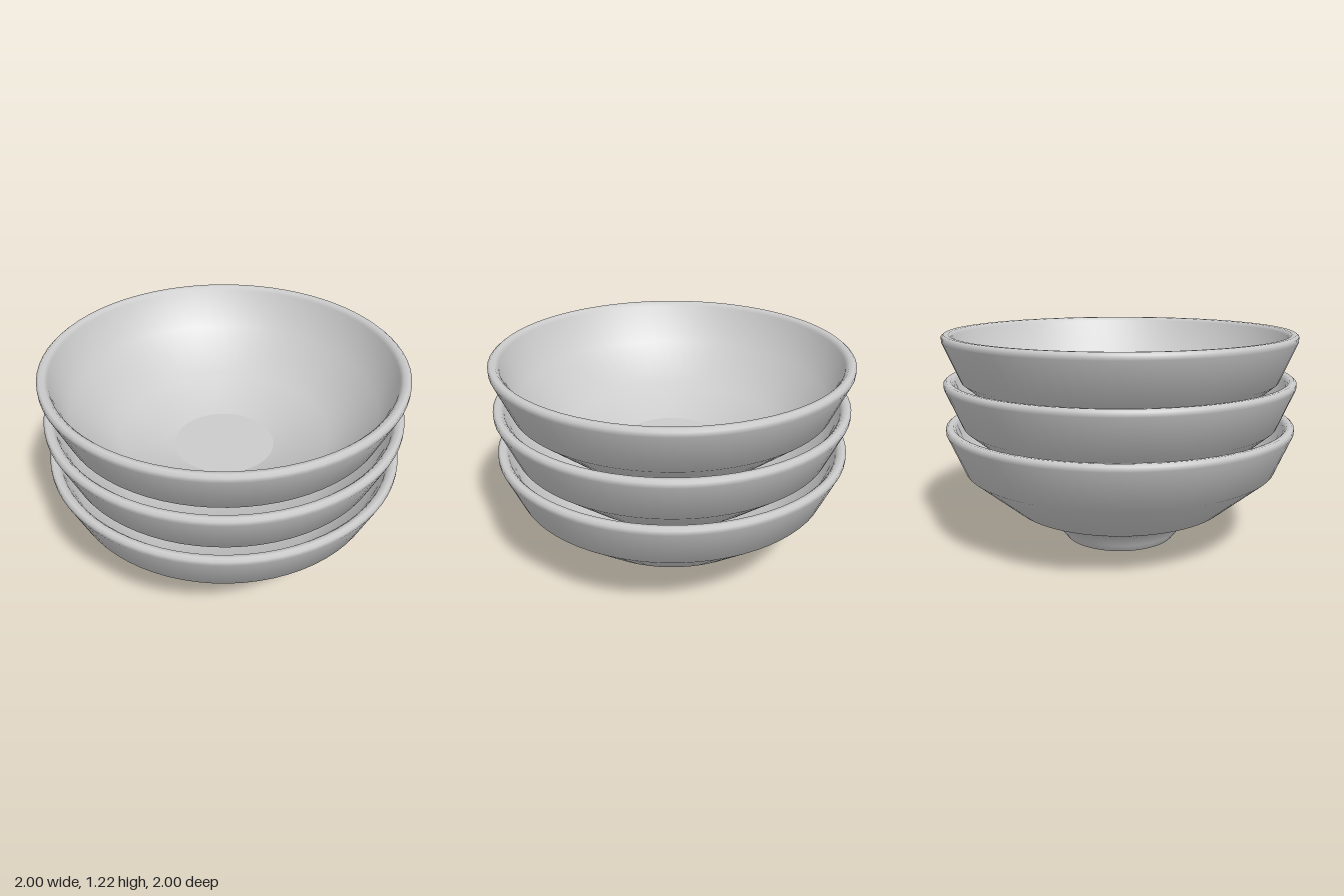
import * as THREE from 'three';

const SEGMENTS = 72;
const STEP = 0.256; // height gained by each nested bowl
const FOOT_RADIUS = 0.325;
const FLOOR_RADIUS = 0.29;
const FLOOR_HEIGHT = 0.16;

// Wall section: up the outside, over the rounded lip, down the inside
const WALL = [
  [FOOT_RADIUS, 0], [0.36, 0.045], [0.385, 0.11], [0.63, 0.212], [0.905, 0.445],
  [1, 0.67], [1, 0.695], [0.985, 0.707], [0.96, 0.705], [0.942, 0.685],
  [0.855, 0.47], [0.6, 0.26], [FLOOR_RADIUS, FLOOR_HEIGHT],
].map(([r, y]) => new THREE.Vector2(r, y));

function createBowl(material) {
  const bowl = new THREE.Group();
  const add = (name, geometry) => {
    const mesh = new THREE.Mesh(geometry, material);
    mesh.name = name;
    bowl.add(mesh);
  };
  add('bowlWall', new THREE.LatheGeometry(WALL, SEGMENTS));

  // Flat discs closing the inside floor and the underside of the foot
  add('bowlFloor', new THREE.CircleGeometry(FLOOR_RADIUS, SEGMENTS)
    .rotateX(-Math.PI / 2).translate(0, FLOOR_HEIGHT, 0));
  add('footBase', new THREE.CircleGeometry(FOOT_RADIUS, SEGMENTS).rotateX(Math.PI / 2));
  return bowl;
}

export function createModel() {
  const model = new THREE.Group();
  model.name = 'bowlStack';
  const material = new THREE.MeshStandardMaterial({ color: 0xcccccc });

  // Three identical bowls, nested one in another
  ['bottomBowl', 'middleBowl', 'topBowl'].forEach((name, i) => {
    const bowl = createBowl(material);
    bowl.name = name;
    bowl.position.y = i * STEP;
    model.add(bowl);
  });
  return model;
}
